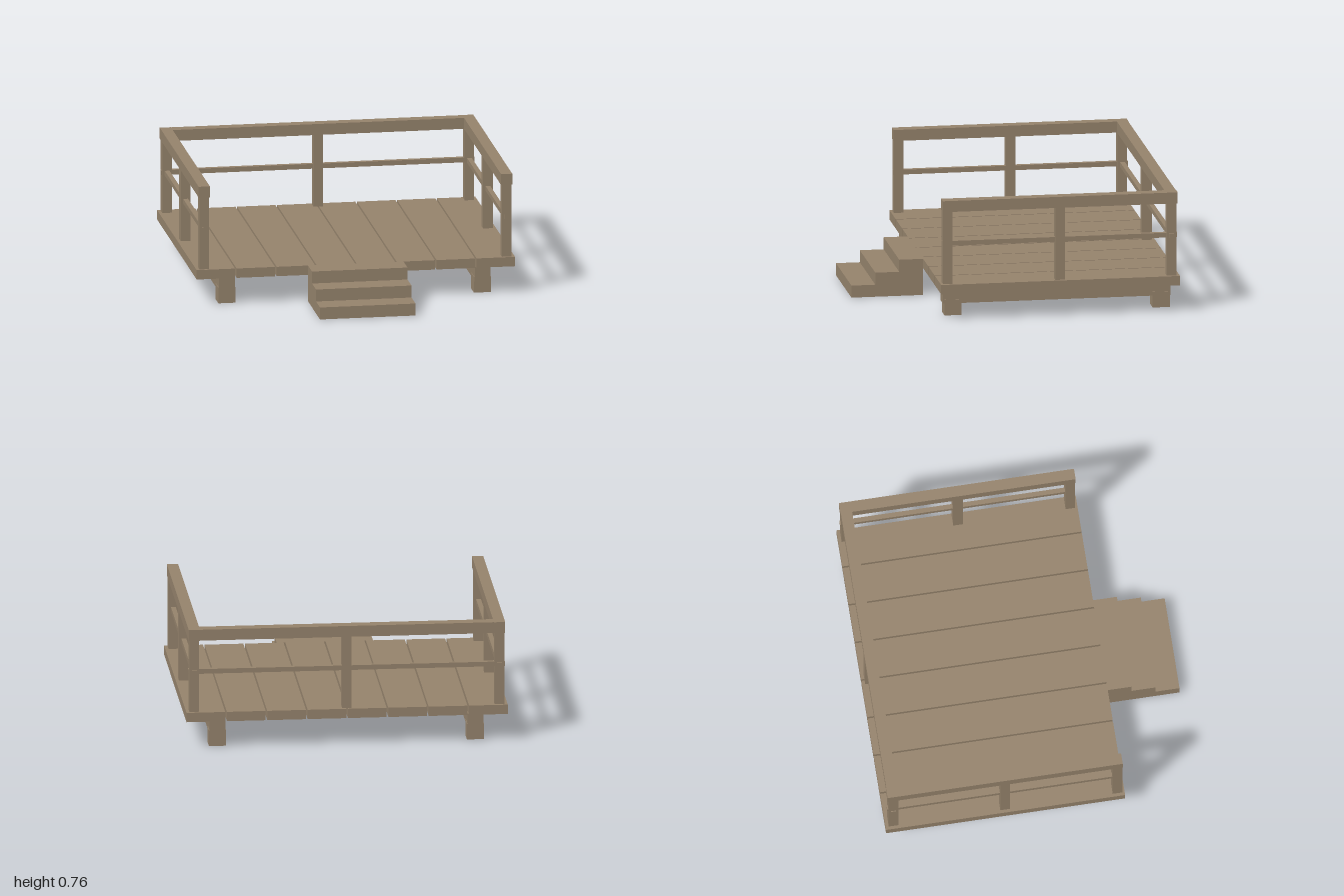
import * as THREE from 'three';

export function createModel() {
  const deck = new THREE.Group();
  deck.name = 'deck';
  const wood = new THREE.MeshStandardMaterial({ color: 0x94826b, side: THREE.DoubleSide });
  wood.name = 'weathered wood';

  function add(name, geometry) {
    const mesh = new THREE.Mesh(geometry, wood);
    mesh.name = name;
    deck.add(mesh);
    return mesh;
  }
  // Box given by its horizontal centre and its bottom height
  function box(name, w, h, d, x, bottom, z) {
    add(name, new THREE.BoxGeometry(w, h, d)).position.set(x, bottom + h / 2, z);
  }

  // Floor planks with narrow gaps
  const count = 8, gap = 0.01;
  const width = (2 - gap * (count - 1)) / count;
  for (let i = 0; i < count; i++) {
    box('floorPlank', width, 0.06, 1.5, -1 + width / 2 + i * (width + gap), 0.17, -0.225);
  }

  // Everything mirrored left and right
  const postZ = [0.48, -0.225, -0.925];
  for (const side of [-1, 1]) {
    box('floorBeam', 0.1, 0.095, 1.43, side * 0.803, 0.075, -0.225);
    for (const z of [0.427, -0.88]) box('foot', 0.107, 0.1, 0.107, side * 0.803, 0, z);
    for (const z of postZ) box('railPost', 0.06, 0.47, 0.06, side * 0.95, 0.225, z);
    box('sideTopRail', 0.07, 0.07, 1.475, side * 0.95, 0.69, -0.225);
    box('sideMiddleRail', 0.03, 0.03, 1.475, side * 0.95, 0.47, -0.225);
  }

  // Back railing
  box('backMiddlePost', 0.06, 0.47, 0.06, 0, 0.225, -0.925);
  box('backTopRail', 1.97, 0.07, 0.07, 0, 0.69, -0.925);
  box('backMiddleRail', 1.97, 0.03, 0.03, 0, 0.47, -0.925);

  // Stairs: a hollow stepped shell, open underneath; profile as [z, y]
  const z0 = 0.525, run = 0.15, rise = 0.23 / 3, half = 0.3;
  const profile = [[z0, 0]];
  for (let i = 0; i < 3; i++) {
    const y = rise * (3 - i);
    profile.push([z0 + i * run, y], [z0 + (i + 1) * run, y]);
  }
  profile.push([z0 + 3 * run, 0]);

  const corners = [];
  for (let i = 0; i < profile.length - 1; i++) {
    const [za, ya] = profile[i], [zb, yb] = profile[i + 1];
    corners.push(-half, ya, za, half, yb, zb, half, ya, za);
    corners.push(-half, ya, za, -half, yb, zb, half, yb, zb);
  }
  const steps = new THREE.BufferGeometry();
  steps.setAttribute('position', new THREE.Float32BufferAttribute(corners, 3));
  steps.computeVertexNormals();
  add('stairSteps', steps);

  // Stair sides, one panel per step
  for (const side of [-1, 1]) {
    for (let i = 0; i < 3; i++) {
      const h = rise * (3 - i);
      const panel = add('stairSide', new THREE.PlaneGeometry(run, h));
      panel.rotation.y = side * Math.PI / 2;
      panel.position.set(side * half, h / 2, z0 + (i + 0.5) * run);
    }
  }

  return deck;
}
